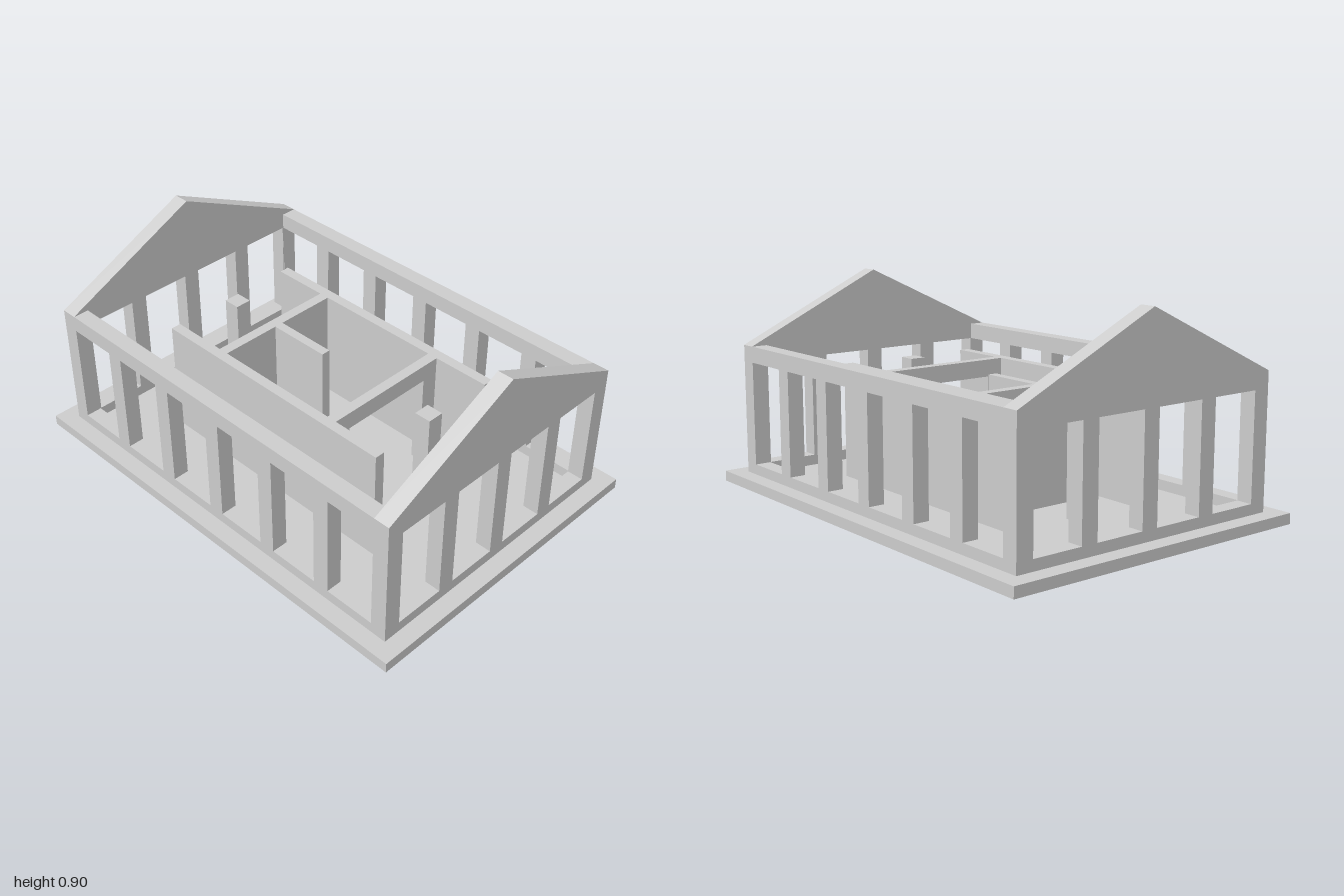
import * as THREE from 'three';

const FLOOR = 0.045, SILL = 0.09, HEAD = 0.54, EAVE = 0.61, RIDGE = 0.905;
const HALF_X = 0.925, HALF_Z = 0.63, WALL = 0.07;

const material = new THREE.MeshStandardMaterial({ color: 0xcccccc, flatShading: true });

function rect(PathType, x0, y0, x1, y1) {
  const p = new PathType();
  p.moveTo(x0, y0);
  p.lineTo(x1, y0);
  p.lineTo(x1, y1);
  p.lineTo(x0, y1);
  p.closePath();
  return p;
}

// Cuts evenly spaced window openings of a given width, centred on 0
function cutWindows(shape, count, width, pitch) {
  for (let i = 0; i < count; i++) {
    const c = (i - (count - 1) / 2) * pitch;
    shape.holes.push(rect(THREE.Path, c - width / 2, SILL, c + width / 2, HEAD));
  }
}

// Extrudes a wall outline, centred on its own thickness
function wallGeometry(shape, thickness) {
  const g = new THREE.ExtrudeGeometry(shape, { depth: thickness, bevelEnabled: false });
  return g.translate(0, 0, -thickness / 2);
}

export function createModel() {
  const house = new THREE.Group();
  house.name = 'house';

  const add = (name, geometry, x = 0, y = 0, z = 0, turn = 0) => {
    const mesh = new THREE.Mesh(geometry, material);
    mesh.name = name;
    mesh.position.set(x, y, z);
    mesh.rotation.y = turn;
    house.add(mesh);
  };

  // Box standing on the floor slab, given by its plan extents
  const block = (name, x0, x1, z0, z1) => add(
    name, new THREE.BoxGeometry(x1 - x0, HEAD - FLOOR, z1 - z0),
    (x0 + x1) / 2, (FLOOR + HEAD) / 2, (z0 + z1) / 2);

  // Base slab
  add('floorSlab', new THREE.BoxGeometry(2, FLOOR, 1.405), 0, FLOOR / 2, 0);

  // Long walls with six openings, fitted between the gable walls
  const long = rect(THREE.Shape, -HALF_X + WALL, FLOOR, HALF_X - WALL, EAVE);
  // The end openings stop just short of the gables so the outline stays valid
  cutWindows(long, 6, 0.224, 0.2968);
  const longGeometry = wallGeometry(long, WALL);
  add('frontWall', longGeometry, 0, 0, HALF_Z - WALL / 2);
  add('backWall', longGeometry, 0, 0, -HALF_Z + WALL / 2);

  // Gable walls with four openings
  const gable = new THREE.Shape();
  gable.moveTo(-HALF_Z, FLOOR);
  gable.lineTo(HALF_Z, FLOOR);
  gable.lineTo(HALF_Z, EAVE);
  gable.lineTo(0, RIDGE);
  gable.lineTo(-HALF_Z, EAVE);
  gable.closePath();
  cutWindows(gable, 4, 0.222, 0.2965);
  const gableGeometry = wallGeometry(gable, WALL);
  add('leftGableWall', gableGeometry, HALF_X - WALL / 2, 0, 0, Math.PI / 2);
  add('rightGableWall', gableGeometry, -HALF_X + WALL / 2, 0, 0, Math.PI / 2);

  // Long partitions
  block('frontPartition', -0.587, 0.587, 0.29, 0.335);
  block('backPartition', -0.587, 0.587, -0.335, -0.29);

  // Cross partitions: the right one solid with a short stub, the left one with a wide doorway
  block('rightCrossPartition', -0.335, -0.29, -0.29, 0.29);
  block('stubPartition', -0.29, -0.01, -0.02, 0.02);
  const doorway = new THREE.Shape();
  [[-0.29, FLOOR], [-0.215, FLOOR], [-0.215, 0.465], [0.215, 0.465],
    [0.215, FLOOR], [0.29, FLOOR], [0.29, HEAD], [-0.29, HEAD]]
    .forEach(([x, y], i) => (i ? doorway.lineTo(x, y) : doorway.moveTo(x, y)));
  doorway.closePath();
  add('doorwayPartition', wallGeometry(doorway, 0.045), 0.3125, 0, 0, Math.PI / 2);

  // Free-standing columns
  for (const [name, x] of [['leftColumn', 0.549], ['rightColumn', -0.549]]) {
    block(name, x - 0.037, x + 0.037, -0.036, 0.036);
  }

  return house;
}
